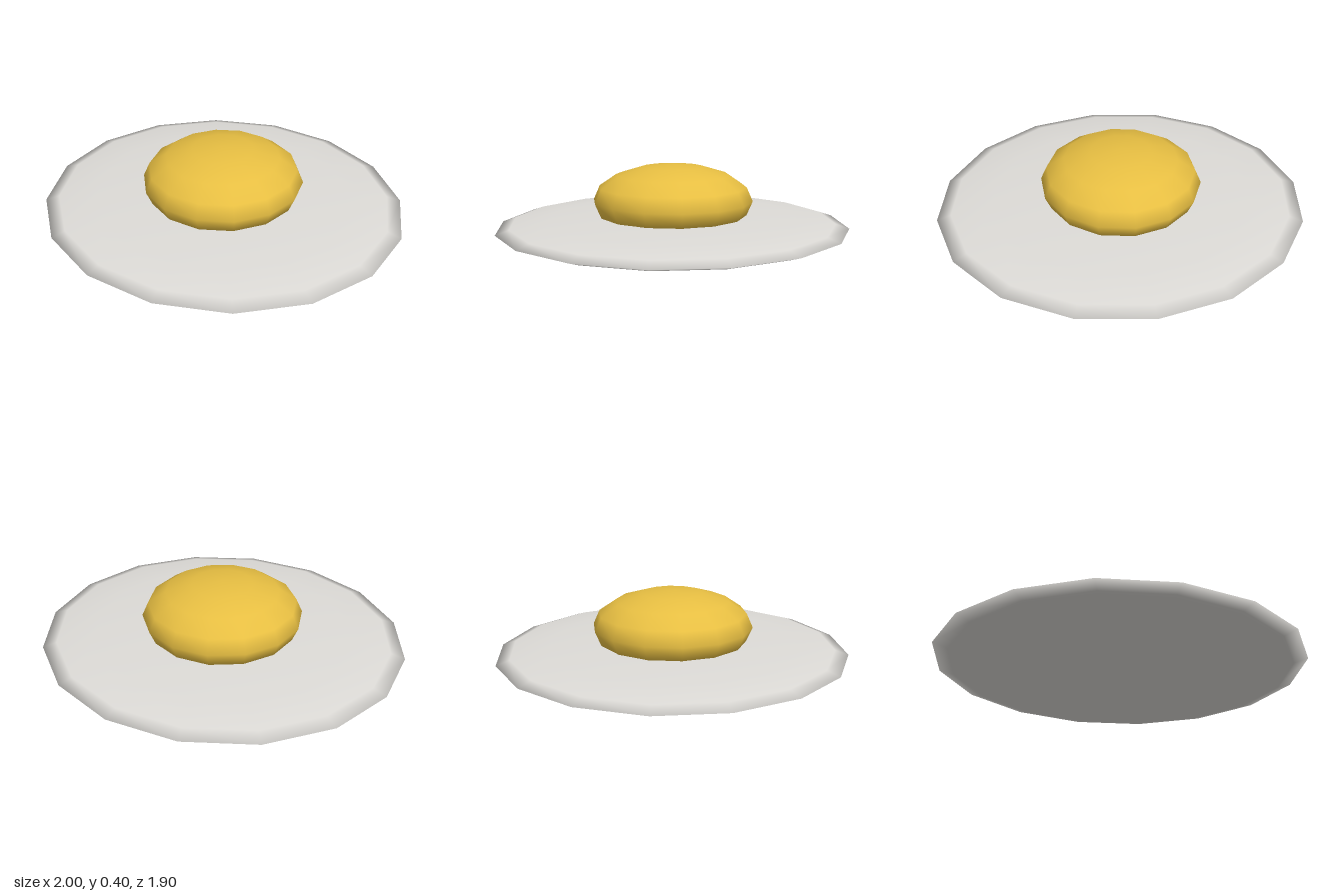
import * as THREE from 'three';

const whiteMaterial = new THREE.MeshStandardMaterial({ name: 'eggWhite', color: 0xdddbd7 });
const yolkMaterial = new THREE.MeshStandardMaterial({ name: 'yolkYellow', color: 0xf0c645 });

// Smooth low-poly ellipsoid centred at the given height
function ellipsoid(name, material, sides, turn, rx, ry, rz, y) {
  const geometry = new THREE.SphereGeometry(1, sides, 8);
  geometry.rotateY(turn);
  geometry.scale(rx, ry, rz);
  const mesh = new THREE.Mesh(geometry, material);
  mesh.name = name;
  mesh.position.y = y;
  return mesh;
}

export function createModel() {
  const group = new THREE.Group();
  group.name = 'friedEgg';

  // Thin, slightly oval disc of egg white
  group.add(ellipsoid('eggWhite', whiteMaterial, 16, 0, 1, 0.064, 0.95, 0.064));

  // Domed yolk sunk into the white, with a corner facing front and back
  group.add(ellipsoid('yolk', yolkMaterial, 14, Math.PI / 2, 0.434, 0.198, 0.434, 0.202));

  return group;
}
